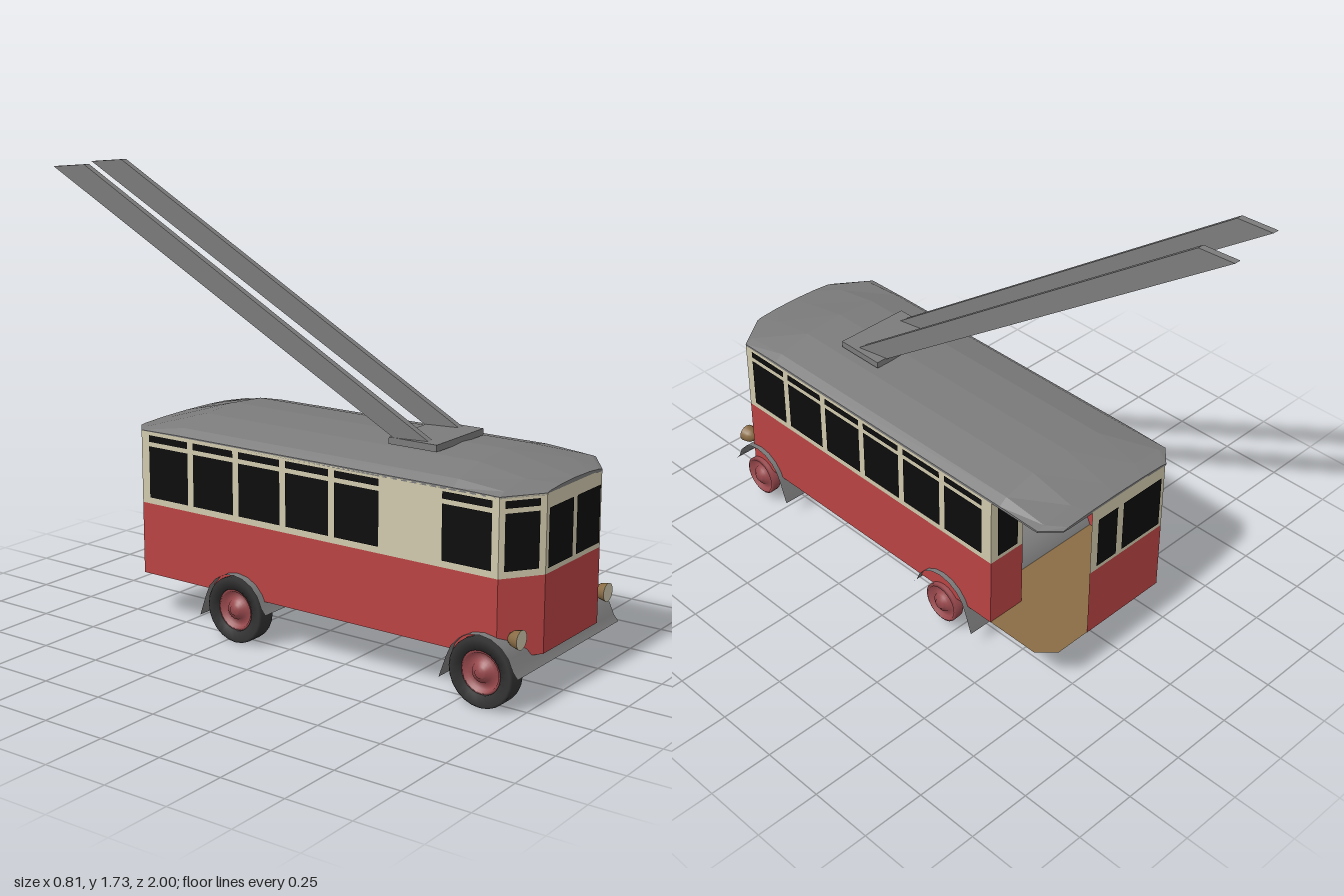
import * as THREE from 'three';

const mat = (name, color, side = THREE.FrontSide) => {
  const m = new THREE.MeshStandardMaterial({ color, side });
  m.name = name;
  return m;
};

export function createModel() {
  const model = new THREE.Group();
  model.name = 'trolleybus';
  const D = THREE.DoubleSide;
  const red = mat('body red', 0xb94343, D);
  const cream = mat('upper cream', 0xd0c8ac, D);
  const glass = mat('window black', 0x0c0c0c);
  const grey = mat('roof grey', 0x7b7b7b, D);
  const rubber = mat('tyre rubber', 0x333333, D);
  const wheelRed = mat('wheel red', 0x97484c, D);
  const brown = mat('floor brown', 0x8a6c45, D);
  const CX = 0.04; // centre line of the body

  const add = (name, geo, material, parent = model) => {
    const mesh = new THREE.Mesh(geo, material);
    mesh.name = name;
    parent.add(mesh);
    return mesh;
  };

  // Body walls: red below, cream above, panes as [start, end, bottom, top] along the wall
  function wall(name, [ax, az], [bx, bz], panes = []) {
    const g = new THREE.Group();
    g.name = name;
    const len = Math.hypot(bx - ax, bz - az);
    g.position.set(ax, 0, az);
    g.rotation.y = Math.atan2(az - bz, bx - ax);
    const plate = (part, s, e, y0, y1, material, z) =>
      add(part, new THREE.PlaneGeometry(e - s, y1 - y0), material, g)
        .position.set((s + e) / 2, (y0 + y1) / 2, z);
    plate('lowerPanel', 0, len, 0.18, 0.46, red, 0);
    plate('upperPanel', 0, len, 0.46, 0.74, cream, 0);
    panes.forEach(([s, e, y0, y1]) => plate('windowPane', s, e, y0, y1, glass, 0.004));
    model.add(g);
  }
  const tall = (s, e) => [[s, e, 0.485, 0.685], [s, e, 0.702, 0.728]];
  const row = (start, n) =>
    Array.from({ length: n }, (_, i) => tall(start + i * 0.2155, start + 0.189 + i * 0.2155)).flat();

  wall('frontWall', [-0.15, 1], [0.23, 1], [[0.01, 0.175, 0.48, 0.69], [0.2, 0.365, 0.48, 0.69]]);
  wall('frontLeftCorner', [0.23, 1], [0.37, 0.9]);
  wall('leftSide', [0.37, 0.9], [0.37, -0.45], row(0.04, 6));
  wall('platformBulkhead', [0.37, -0.45], [0.21, -0.45], [[0.03, 0.13, 0.48, 0.7]]);
  wall('rearWall', [0.16, -0.73], [-0.22, -0.73], [[0.03, 0.13, 0.48, 0.69], [0.16, 0.36, 0.48, 0.69]]);
  wall('rearRightCorner', [-0.22, -0.73], [-0.29, -0.67]);
  wall('rightSide', [-0.29, -0.67], [-0.29, 0.9], [...row(0.04, 5), ...tall(1.35, 1.545)]);
  wall('frontRightCorner', [-0.29, 0.9], [-0.15, 1], tall(0.02, 0.146));

  // Floor: red under the front, brown under the rear and the open platform
  function floor(name, points, material) {
    const shape = new THREE.Shape(points.map(([x, z]) => new THREE.Vector2(x, -z)));
    add(name, new THREE.ShapeGeometry(shape).rotateX(-Math.PI / 2), material).position.y = 0.182;
  }
  floor('frontFloor', [[-0.29, 0.03], [-0.29, 0.9], [-0.15, 1], [0.23, 1], [0.37, 0.9], [0.37, 0.03]], red);
  floor('rearFloor', [[-0.29, 0.03], [0.37, 0.03], [0.37, -0.67], [0.31, -0.73], [-0.22, -0.73], [-0.29, -0.67]], brown);

  // Roof: arched cross-sections [z, half width, edge height, crown height]
  const sections = [
    [1, 0.19, 0.735, 0.735], [1, 0.19, 0.742, 0.755], [0.9, 0.33, 0.742, 0.776], [0.72, 0.33, 0.745, 0.812],
    [-0.49, 0.33, 0.745, 0.812], [-0.67, 0.33, 0.742, 0.765], [-0.73, 0.265, 0.74, 0.75], [-0.73, 0.265, 0.735, 0.735],
  ];
  const arch = [[-1, -1], [-1, 0], [-0.9, 0.35], [-0.5, 0.82], [0, 1], [0.5, 0.82], [0.9, 0.35], [1, 0], [1, -1]];
  const pos = [], idx = [];
  sections.forEach(([z, w, edge, crown], i) => arch.forEach(([t, f], j) => {
    pos.push(CX + t * w, f < 0 ? 0.735 : edge + (crown - edge) * f, z);
    if (i && j) {
      const d = i * arch.length + j, c = d - 1, b = d - arch.length, a = b - 1;
      idx.push(a, b, c, b, d, c);
    }
  }));
  let roof = new THREE.BufferGeometry();
  roof.setAttribute('position', new THREE.Float32BufferAttribute(pos, 3));
  roof.setIndex(idx);
  roof = roof.toNonIndexed();
  roof.computeVertexNormals();
  add('roof', roof, grey);

  // Current collector: base plate and two sheared poles
  add('poleBase', new THREE.BoxGeometry(0.305, 0.025, 0.2), grey).position.set(0.022, 0.82, 0.45);
  function pole(name, base, tip) {
    const geo = new THREE.BoxGeometry(1, 1, 1);
    const p = geo.attributes.position;
    for (let i = 0; i < p.count; i++) {
      const v = p.getY(i) + 0.5, back = 0.5 - p.getZ(i);
      p.setXYZ(i,
        THREE.MathUtils.lerp(base[0], tip[0], v) + p.getX(i) * 0.026 - back * 0.025,
        THREE.MathUtils.lerp(0.825, 1.735, v) - v * back * 0.012,
        THREE.MathUtils.lerp(base[1], tip[1], v) - back * 0.13);
    }
    geo.computeVertexNormals();
    add(name, geo, grey);
  }
  pole('rightPole', [-0.09, 0.51], [-0.367, -0.84]);
  pole('leftPole', [0.145, 0.485], [-0.135, -0.87]);

  // Lathe turned so that its axis points out along +x
  const turned = (profile, n) =>
    new THREE.LatheGeometry(profile.map(([r, x]) => new THREE.Vector2(r, x)), n).rotateZ(-Math.PI / 2);
  const hubGeo = turned([[0.078, -0.02], [0.08, 0.015], [0.07, 0.02], [0.064, 0.004], [0.042, 0.004],
    [0.036, 0.018], [0.022, 0.022], [0.018, 0.03], [0, 0.03]], 24);
  const tyreGeo = turned([[0.08, -0.05], [0.118, -0.05], [0.126, -0.042], [0.126, 0.022],
    [0.118, 0.03], [0.08, 0.026], [0.08, -0.05]], 24);

  // Fender sheet running across the full width, lower at its rear end
  const fenderPath = [[0.15, 0.14]];
  for (let i = 0; i <= 8; i++) {
    const a = 0.25 + (i / 8) * (Math.PI - 0.5);
    fenderPath.push([0.135 * Math.cos(a), 0.13 + 0.135 * Math.sin(a)]);
  }
  fenderPath.push([-0.16, 0.08]);
  const fenderGeo = new THREE.PlaneGeometry(0.71, 1, 1, fenderPath.length - 1);
  const fp = fenderGeo.attributes.position;
  for (let i = 0; i < fp.count; i++) {
    const [z, y] = fenderPath[Math.floor(i / 2)];
    fp.setXYZ(i, fp.getX(i) + 0.035, y, z);
  }
  fenderGeo.computeVertexNormals();

  for (const [label, z] of [['front', 0.852], ['rear', -0.208]]) {
    add(label + 'Fender', fenderGeo, grey).position.z = z;
    add(label + 'LeftWheel', hubGeo, wheelRed).position.set(0.37, 0.13, z);
    const right = new THREE.Group();
    right.name = label + 'RightWheel';
    right.position.set(-0.288, 0.128, z);
    right.rotation.y = Math.PI;
    add('hub', hubGeo, wheelRed, right);
    add('tyre', tyreGeo, rubber, right);
    model.add(right);
  }

  // Headlights: brown domed housing with a cream lens
  const housing = new THREE.LatheGeometry(
    [[0, -0.05], [0.017, -0.045], [0.028, -0.03], [0.035, 0]].map(([r, y]) => new THREE.Vector2(r, y)), 16)
    .rotateX(Math.PI / 2);
  for (const [side, x] of [['left', 0.345], ['right', -0.262]]) {
    const lamp = new THREE.Group();
    lamp.name = side + 'Headlight';
    lamp.position.set(x, 0.257, 0.98);
    add('housing', housing, brown, lamp);
    add('lens', new THREE.CircleGeometry(0.035, 16), cream, lamp);
    model.add(lamp);
  }
  return model;
}
